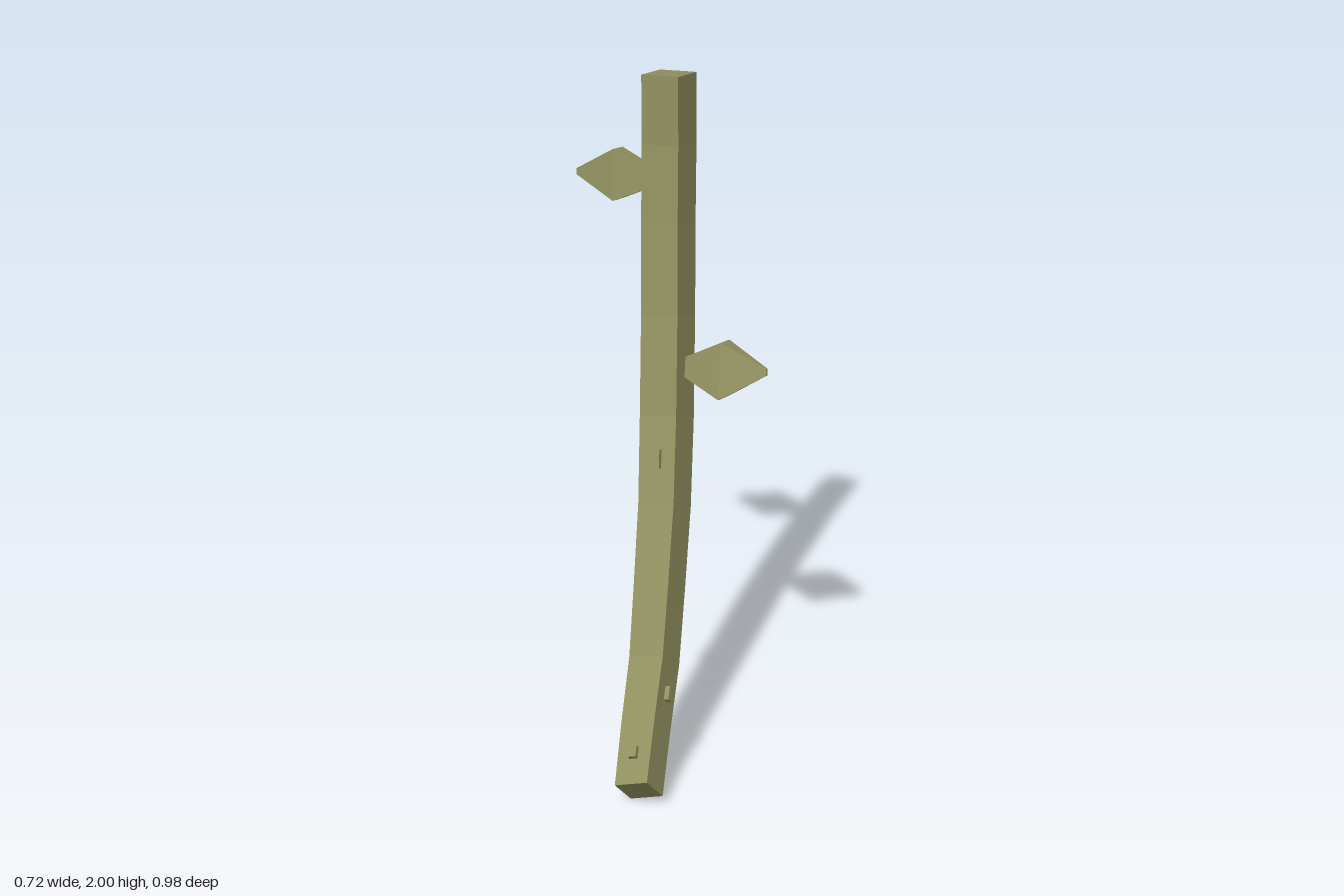
import * as THREE from 'three';

const V = (x, y, z) => new THREE.Vector3(x, y, z);
const mat = new THREE.MeshStandardMaterial({ color: 0x8f8f5f, flatShading: true });

// Closed loft through four-cornered sections: each is { c, a, b } with half-axes a x b pointing along the loft
function loft(sections) {
  const pos = [], idx = [];
  for (const { c, a, b } of sections) {
    for (const [i, j] of [[1, 1], [-1, 1], [-1, -1], [1, -1]]) {
      pos.push(...c.clone().addScaledVector(a, i).addScaledVector(b, j).toArray());
    }
  }
  const last = (sections.length - 1) * 4;
  for (let r = 0; r < last; r += 4) {
    for (let j = 0; j < 4; j++) {
      const p = r + j, q = r + (j + 1) % 4;
      idx.push(p, q, q + 4, p, q + 4, p + 4);
    }
  }
  idx.push(0, 2, 1, 0, 3, 2, last, last + 1, last + 2, last, last + 2, last + 3);
  const g = new THREE.BufferGeometry();
  g.setAttribute('position', new THREE.Float32BufferAttribute(pos, 3));
  g.setIndex(idx);
  g.computeVertexNormals();
  return g;
}

// Centre line of the stem, bottom to top
const path = [
  V(0.25, 0.058, 0.457), V(0.205, 0.18, 0.31), V(0.165, 0.33, 0.16), V(0.125, 0.515, 0.035),
  V(0.083, 0.73, -0.095), V(0.04, 0.975, -0.205), V(0.0, 1.265, -0.3), V(-0.03, 1.545, -0.365),
  V(-0.047, 1.78, -0.405), V(-0.057, 1.991, -0.423),
];
const N = path.length - 1;

// Position and axes (side, along, front) of the stem at ring number t
function frame(t) {
  const i = Math.min(Math.floor(t), N - 1);
  const c = path[i].clone().lerp(path[i + 1], t - i);
  const lo = path[Math.max(0, Math.ceil(t) - 1)], hi = path[Math.min(N, Math.floor(t) + 1)];
  const along = hi.clone().sub(lo).normalize();
  const side = V(0.1, 0.03, -0.005).lerp(V(0.1, 0.01, 0.005), t / N);
  side.addScaledVector(along, -side.dot(along)).normalize();
  const front = side.clone().cross(along);
  return { c, side, along, front, half: 0.053 + 0.009 * Math.min(1, t / 5) };
}

export function createModel() {
  const model = new THREE.Group();
  model.name = 'thornyStem';
  const add = (geometry, name) => {
    const m = new THREE.Mesh(geometry, mat);
    m.name = name;
    model.add(m);
    return m;
  };

  // Curved square stem
  add(loft(path.map((_, i) => {
    const f = frame(i);
    return { c: f.c, a: f.front.multiplyScalar(f.half), b: f.side.multiplyScalar(f.half) };
  })), 'stem');

  // Leaves: narrow at the base, widest in the middle, nearly pointed at the tip
  const leaf = (name, base, mid, tip, a, b) => add(loft(
    [[base, 0.36], [mid, 1], [tip, 0.12]].map(([c, s]) => ({
      c, a: a.clone().multiplyScalar(s), b: b.clone().multiplyScalar(s),
    }))), name);
  leaf('leftLeaf', V(0.085, 1.13, -0.25), V(0.213, 1.143, -0.238), V(0.356, 1.16, -0.231),
    V(-0.01, 0.081, -0.03), V(0, 0.006, 0.035));
  leaf('rightLeaf', V(-0.09, 1.672, -0.39), V(-0.219, 1.664, -0.403), V(-0.364, 1.652, -0.416),
    V(0, 0.005, 0.037), V(-0.008, 0.077, -0.016));

  // Small buds: ring number, face (side, front), width, length
  const buds = [
    [0.5, 0, 1, 0.026, 0.036], [1.5, 1, 0, 0.026, 0.042], [2.5, 0, -1, 0.028, 0.048],
    [3.5, -1, 0, 0.028, 0.052], [4.5, 0, 1, 0.03, 0.058], [6.5, 0, -1, 0.03, 0.062],
  ];
  for (const [t, s, f, w, l] of buds) {
    const { c, side, along, front, half } = frame(t);
    const depth = 0.03;
    const bud = add(new THREE.BoxGeometry(s ? depth : w, l, f ? depth : w), 'bud');
    bud.quaternion.setFromRotationMatrix(new THREE.Matrix4().makeBasis(side, along, front));
    bud.position.copy(c).addScaledVector(side, s * half).addScaledVector(front, f * half);
  }
  return model;
}
